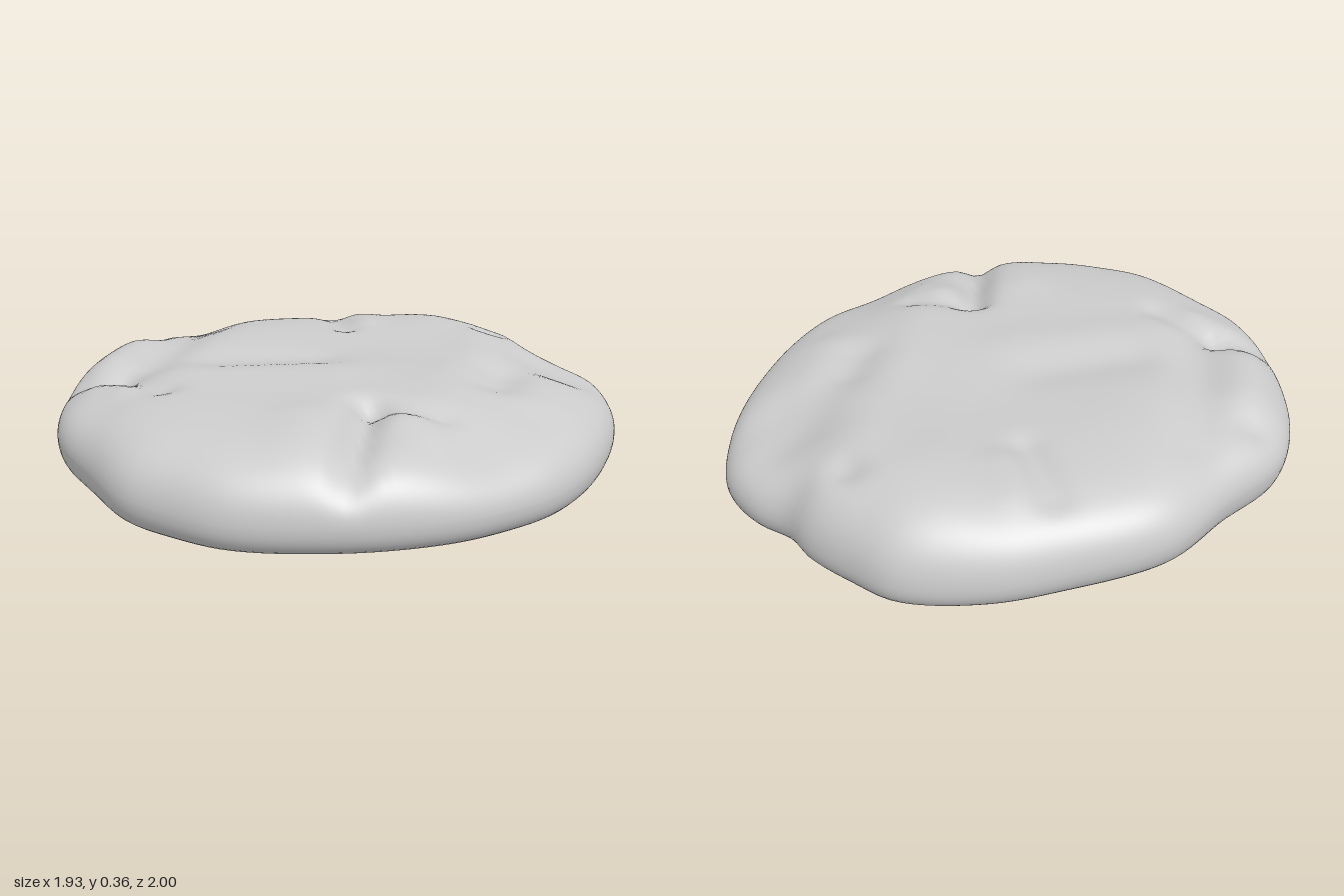
import * as THREE from 'three';

// Plan outline as [x, z] points
const OUTLINE = [
  [0.965, -0.13], [0.925, 0.22], [0.84, 0.46], [0.73, 0.61], [0.60, 0.74], [0.43, 0.85],
  [0.24, 0.93], [-0.07, 0.995], [-0.26, 0.97], [-0.42, 0.92], [-0.60, 0.77], [-0.79, 0.58],
  [-0.90, 0.33], [-0.965, -0.05], [-0.92, -0.29], [-0.76, -0.50], [-0.59, -0.73], [-0.26, -0.90],
  [-0.05, -0.975], [0.22, -1.0], [0.38, -0.93], [0.53, -0.84], [0.62, -0.75], [0.76, -0.68],
  [0.88, -0.56], [0.945, -0.36],
];

// Dents (negative) and swellings (positive): [ax, az, bx, bz, width, height]
const MARKS = [
  // notch and lowered lobe at the front left
  [0.40, 0.58, 0.58, 0.55, 0.17, -0.035], [0.22, 0.42, 0.28, 0.88, 0.06, -0.055],
  [0.26, 0.40, 0.46, 0.42, 0.05, -0.02], [0.37, 0.52, 0.44, 0.56, 0.08, 0.018],
  [0.05, 0.60, 0.10, 0.80, 0.10, 0.012],
  // crease and lowered lobe at the front right
  [-0.84, 0.29, -0.70, 0.29, 0.06, -0.035], [-0.70, 0.29, -0.48, 0.43, 0.06, -0.025],
  [-0.76, 0.45, -0.62, 0.55, 0.14, -0.015], [-0.72, 0.39, -0.62, 0.43, 0.07, 0.015],
  // diagonal fold across the middle
  [-0.40, 0.08, -0.10, -0.06, 0.11, -0.018], [-0.42, 0.24, 0.02, 0.10, 0.13, 0.012],
  [-0.48, -0.20, -0.40, -0.35, 0.18, 0.012], [0.10, -0.30, 0.30, -0.25, 0.20, -0.012],
  // hollow, ridge and low shoulder on the left side
  [0.57, -0.12, 0.56, 0.00, 0.09, -0.022], [0.72, -0.15, 0.72, 0.08, 0.12, 0.025],
  [0.70, -0.46, 0.80, -0.40, 0.16, -0.035], [0.45, -0.50, 0.48, -0.35, 0.12, 0.012],
  // crease at the back
  [-0.22, -0.74, -0.11, -0.52, 0.055, -0.022], [-0.11, -0.76, -0.05, -0.62, 0.07, 0.012],
  [0.14, -0.84, 0.22, -0.72, 0.18, 0.018],
  // pit at the back left
  [0.42, -0.70, 0.43, -0.69, 0.06, -0.028], [0.50, -0.77, 0.54, -0.72, 0.09, 0.018],
  // raised right rim, the nick in it and the valley behind it
  [-0.82, -0.08, -0.82, 0.12, 0.11, 0.035], [-0.93, -0.24, -0.83, -0.25, 0.055, -0.025],
  [-0.65, -0.40, -0.62, 0.22, 0.09, -0.016],
];

// Soft mark around a line segment
function mark(x, z, [ax, az, bx, bz, w, h]) {
  const dx = bx - ax, dz = bz - az;
  const k = THREE.MathUtils.clamp(((x - ax) * dx + (z - az) * dz) / (dx * dx + dz * dz), 0, 1);
  const d2 = (x - ax - k * dx) ** 2 + (z - az - k * dz) ** 2;
  return h * Math.exp(-d2 / (w * w));
}

const { smoothstep } = THREE.MathUtils;

// The top slopes down toward the left and the front
function topHeight(x, z) {
  let y = 0.352 - 0.07 * smoothstep(x, 0.36, 0.78) - 0.012 * smoothstep(-x, 0.5, 0.7);
  y -= 0.02 * smoothstep(z, 0.45, 0.9);
  for (const m of MARKS) y += mark(x, z, m);
  return y;
}

// The base lifts slightly toward the right and the back
function baseHeight(x, z) {
  return 0.006 + 0.042 * smoothstep(-x, -0.1, 0.95) + 0.02 * smoothstep(-z, 0.3, 1)
    + mark(x, z, [-0.05, 0.0, 0.08, 0.05, 0.06, 0.012]);
}

// Height of the widest line round the rim
const rimHeight = (x, z) => 0.12 + 0.055 * smoothstep(-x, -0.1, 0.95) - 0.015 * smoothstep(x, 0.3, 0.95)
  - 0.01 * smoothstep(z, 0.4, 1);

function stoneGeometry() {
  const N = 160, TOP = 56, BOTTOM = 28;
  const curve = new THREE.CatmullRomCurve3(OUTLINE.map(([x, z]) => new THREE.Vector3(x, 0, z)), true);
  const rim = curve.getSpacedPoints(N).slice(0, N);
  const pos = [0, topHeight(0, 0), 0], index = [];

  // Rings run from the top centre out to the rim, then back in underneath
  const addRing = (t, upper) => {
    for (const p of rim) {
      const x = p.x * t, z = p.z * t, mid = rimHeight(p.x, p.z);
      const end = upper ? topHeight(x, z) : baseHeight(x, z);
      const round = Math.sqrt(Math.max(0, 1 - t ** (upper ? 8.5 : 22)));
      pos.push(x, mid + (end - mid) * round, z);
    }
  };
  for (let k = 1; k <= TOP; k++) addRing(1 - (1 - k / TOP) ** 2, true);
  for (let k = BOTTOM - 1; k >= 1; k--) addRing(1 - (1 - k / BOTTOM) ** 2, false);
  const last = pos.length / 3, rings = (last - 1) / N;
  pos.push(0, baseHeight(0, 0), 0);

  for (let i = 0; i < N; i++) {
    const j = (i + 1) % N;
    index.push(0, 1 + j, 1 + i);
    for (let r = 0; r < rings - 1; r++) {
      const a = 1 + r * N, b = a + N;
      index.push(a + i, a + j, b + i, a + j, b + j, b + i);
    }
    const e = 1 + (rings - 1) * N;
    index.push(last, e + i, e + j);
  }

  const geo = new THREE.BufferGeometry();
  geo.setAttribute('position', new THREE.Float32BufferAttribute(pos, 3));
  geo.setIndex(index);
  geo.computeVertexNormals();
  return geo;
}

export function createModel() {
  const group = new THREE.Group();
  group.name = 'flatStone';
  const grey = new THREE.MeshStandardMaterial({ color: 0xcccccc });
  grey.name = 'stoneGrey';
  const stone = new THREE.Mesh(stoneGeometry(), grey);
  stone.name = 'stone';
  group.add(stone);
  return group;
}
